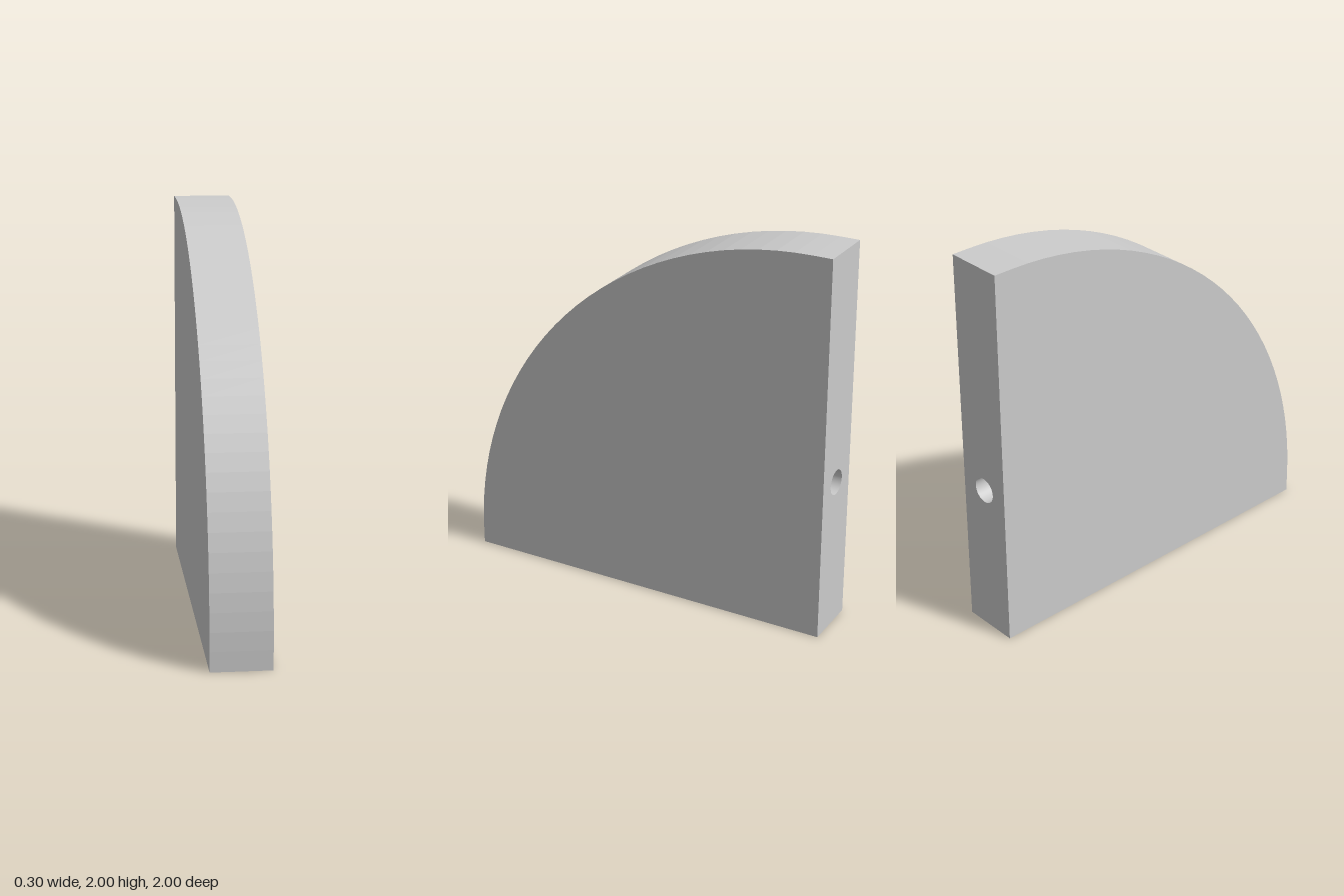
import * as THREE from 'three';

const HALF = 0.15;      // half thickness
const R = 1.9;          // rounded corner radius
const C = 0.1;          // straight run before and after the arc
const ARC_STEPS = 32;
const HOLE_R = 0.065, HOLE_DEPTH = 0.4;

export function createModel() {
  const group = new THREE.Group();
  const mat = new THREE.MeshStandardMaterial({ color: 0xcccccc, flatShading: true });
  const holeMat = new THREE.MeshStandardMaterial({ color: 0xcccccc, side: THREE.BackSide });

  const add = (name, geometry, material = mat, parent = group) => {
    const mesh = new THREE.Mesh(geometry, material);
    mesh.name = name;
    parent.add(mesh);
    return mesh;
  };

  // Rim points as (z, y), from the bottom front corner to the top back corner
  const rim = [new THREE.Vector2(1, 0)];
  for (let i = 0; i <= ARC_STEPS; i++) {
    const a = (i / ARC_STEPS) * Math.PI / 2;
    rim.push(new THREE.Vector2(C - 1 + R * Math.cos(a), C + R * Math.sin(a)));
  }
  rim.push(new THREE.Vector2(-1, 2));

  // Flat quarter-round sides
  const corner = new THREE.Vector2(-1, 0);
  const outline = [...rim, corner];
  const mirrored = outline.map(p => new THREE.Vector2(-p.x, p.y));
  add('rightSide', new THREE.ShapeGeometry(new THREE.Shape(outline)).rotateY(-Math.PI / 2)).position.x = -HALF;
  add('leftSide', new THREE.ShapeGeometry(new THREE.Shape(mirrored)).rotateY(Math.PI / 2)).position.x = HALF;

  // Curved rim between the sides
  const verts = [];
  for (let i = 0; i < rim.length - 1; i++) {
    const p = rim[i], q = rim[i + 1];
    const a = [-HALF, p.y, p.x], b = [HALF, p.y, p.x];
    const c = [HALF, q.y, q.x], d = [-HALF, q.y, q.x];
    verts.push(...a, ...b, ...c, ...a, ...c, ...d);
  }
  const rimGeo = new THREE.BufferGeometry();
  rimGeo.setAttribute('position', new THREE.Float32BufferAttribute(verts, 3));
  rimGeo.computeVertexNormals();
  add('curvedRim', rimGeo);

  // Straight edge strips, pierced by the dowel holes
  const strip = (from, to, holes) => {
    const s = new THREE.Shape();
    s.moveTo(-HALF, from).lineTo(HALF, from).lineTo(HALF, to).lineTo(-HALF, to).closePath();
    for (const v of holes) s.holes.push(new THREE.Path().absarc(0, v, HOLE_R, 0, Math.PI * 2, true));
    return new THREE.ShapeGeometry(s, 16);
  };
  add('backEdge', strip(0, 2, [0.8]).rotateY(Math.PI)).position.z = -1;
  add('bottomEdge', strip(-1, 1, [-0.64, 0.64]).rotateX(Math.PI / 2));

  // Blind dowel holes, running along local +y from their mouth
  const dowelHole = (name, y, z, tilt) => {
    const hole = new THREE.Group();
    hole.name = name;
    add('holeWall', new THREE.CylinderGeometry(HOLE_R, HOLE_R, HOLE_DEPTH, 32, 1, true), holeMat, hole).position.y = HOLE_DEPTH / 2;
    add('holeFloor', new THREE.CircleGeometry(HOLE_R, 32).rotateX(Math.PI / 2), mat, hole).position.y = HOLE_DEPTH;
    hole.position.set(0, y, z);
    hole.rotation.x = tilt;
    group.add(hole);
  };
  dowelHole('backHole', 0.8, -1, Math.PI / 2);
  dowelHole('bottomRearHole', 0, -0.64, 0);
  dowelHole('bottomFrontHole', 0, 0.64, 0);

  return group;
}
